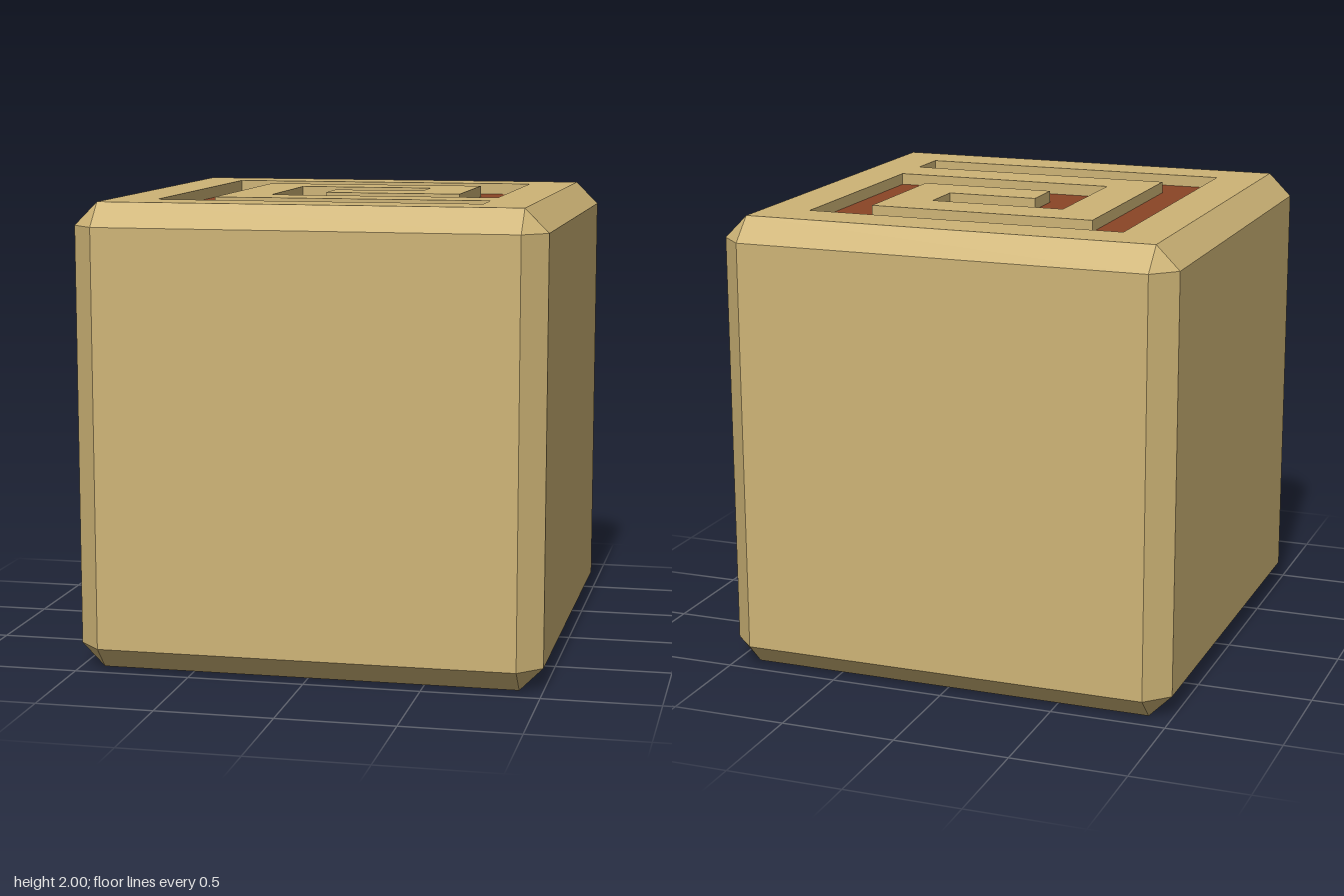
import * as THREE from 'three';
import { ConvexGeometry } from 'three/addons/geometries/ConvexGeometry.js';

const TOP = 2, BEVEL = 0.1, DEPTH = 0.05;
const IN = 1 - BEVEL;

// Square spiral outline in plan, as [x, z]
const SPIRAL = [
  [0.7, 0.7], [-0.7, 0.7], [-0.7, -0.7], [0.7, -0.7],
  [0.7, 0.3], [-0.3, 0.3], [-0.3, -0.3], [0.3, -0.3],
  [0.3, -0.1], [-0.1, -0.1], [-0.1, 0.1], [0.5, 0.1],
  [0.5, -0.5], [-0.5, -0.5], [-0.5, 0.5], [0.7, 0.5],
];

const toPoints = (list) => list.map(([x, z]) => new THREE.Vector2(x, -z));

// Flat upward-facing geometry at a given height
function flatPlate(shape, y) {
  return new THREE.ShapeGeometry(shape).rotateX(-Math.PI / 2).translate(0, y, 0);
}

function fromPositions(positions) {
  const geometry = new THREE.BufferGeometry();
  geometry.setAttribute('position', new THREE.Float32BufferAttribute(positions, 3));
  geometry.computeVertexNormals();
  return geometry;
}

// Chamfered cube with its top face left open
function openBody() {
  const corners = [];
  for (const x of [-1, 1]) for (const y of [-1, 1]) for (const z of [-1, 1]) {
    corners.push(
      new THREE.Vector3(x, 1 + y * IN, z * IN),
      new THREE.Vector3(x * IN, 1 + y, z * IN),
      new THREE.Vector3(x * IN, 1 + y * IN, z),
    );
  }
  const p = new ConvexGeometry(corners).getAttribute('position').array;
  const kept = [];
  for (let i = 0; i < p.length; i += 9) {
    const isTop = Math.min(p[i + 1], p[i + 4], p[i + 7]) > TOP - 0.001;
    if (!isTop) kept.push(...p.slice(i, i + 9));
  }
  return fromPositions(kept);
}

// Upright walls facing into the groove
function grooveWalls() {
  const out = [], low = TOP - DEPTH;
  SPIRAL.forEach(([ax, az], i) => {
    const [bx, bz] = SPIRAL[(i + 1) % SPIRAL.length];
    out.push(ax, TOP, az, ax, low, az, bx, low, bz);
    out.push(ax, TOP, az, bx, low, bz, bx, TOP, bz);
  });
  return fromPositions(out);
}

export function createModel() {
  const sand = new THREE.MeshStandardMaterial({ color: 0xceb476 });
  sand.name = 'sandstone';
  const rust = new THREE.MeshStandardMaterial({ color: 0x8b4526 });
  rust.name = 'rustBrown';

  const group = new THREE.Group();
  group.name = 'spiralBlock';
  const add = (name, geometry, material) => {
    const mesh = new THREE.Mesh(geometry, material);
    mesh.name = name;
    group.add(mesh);
  };

  // Top face with the spiral cut out
  const topShape = new THREE.Shape(toPoints([[-IN, IN], [IN, IN], [IN, -IN], [-IN, -IN]]));
  topShape.holes.push(new THREE.Path(toPoints(SPIRAL)));

  add('body', openBody(), sand);
  add('topFace', flatPlate(topShape, TOP), sand);
  add('grooveWalls', grooveWalls(), sand);
  add('grooveFloor', flatPlate(new THREE.Shape(toPoints(SPIRAL)), TOP - DEPTH), rust);
  return group;
}
